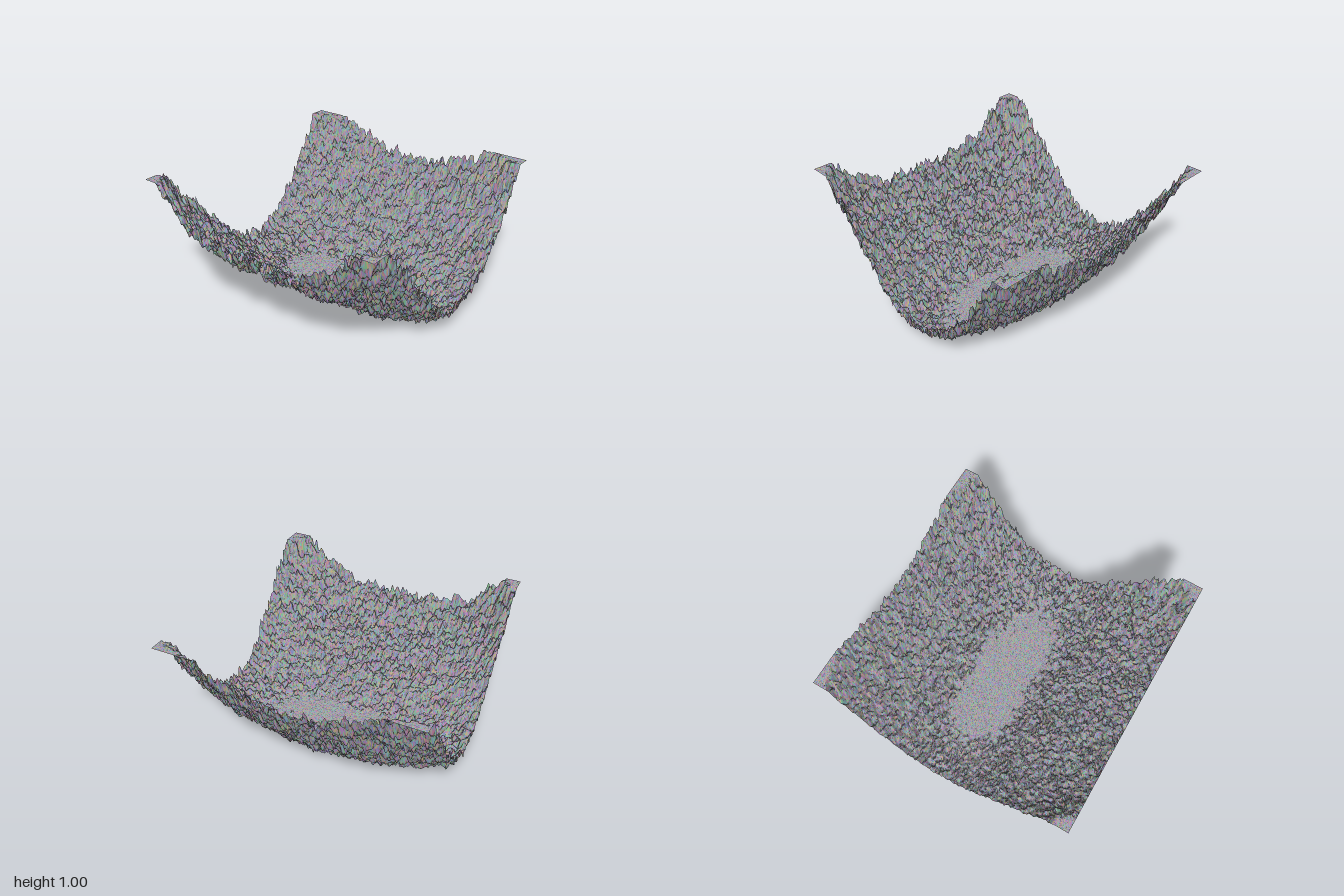
import * as THREE from 'three';

// Height along the centre line, from back (-z) to front (+z); values below 0 get levelled
const PROFILE = [
  [-1, 0.79], [-0.8, 0.46], [-0.6, 0.2], [-0.43, 0.05], [-0.3, -0.03], [-0.1, -0.08],
  [0.1, -0.04], [0.25, 0.05], [0.4, 0.19], [0.6, 0.33], [0.8, 0.46], [1, 0.67],
];

// Speckle colours, mixed over the whole surface
const SPECKLES = [0xc0809f, 0x80c08c, 0x8088c0, 0xc0b080, 0x707070, 0xb080c0, 0x80b8c0, 0xa8a8a8];
const CELLS = 256;

function valley(z) {
  let i = 0;
  while (i < PROFILE.length - 2 && z > PROFILE[i + 1][0]) i++;
  const [z0, h0] = PROFILE[i];
  const [z1, h1] = PROFILE[i + 1];
  return THREE.MathUtils.lerp(h0, h1, (z - z0) / (z1 - z0));
}

// Rise towards the left and right edges: broad at the back, tighter at the front
function sides(x, z) {
  const rise = 0.23 + (z > 0 ? 0.38 : 0.2) * z * z;
  return rise * Math.abs(x) ** (3 + z);
}

// Seeded lattice value in -1..1
function lattice(i, j, seed) {
  let n = Math.imul(i, 374761393) ^ Math.imul(j, 668265263) ^ Math.imul(seed, 974634777);
  n = Math.imul(n ^ (n >>> 13), 1274126177);
  n = Math.imul(n ^ (n >>> 15), 2246822519);
  return ((n ^ (n >>> 16)) >>> 0) / 2147483648 - 1;
}

// Smooth value noise
function noise(x, z, seed) {
  const { lerp, smoothstep } = THREE.MathUtils;
  const i = Math.floor(x), j = Math.floor(z);
  const u = smoothstep(x - i, 0, 1), v = smoothstep(z - j, 0, 1);
  return lerp(
    lerp(lattice(i, j, seed), lattice(i + 1, j, seed), u),
    lerp(lattice(i, j + 1, seed), lattice(i + 1, j + 1, seed), u), v);
}

// Basin height with roughness that grows a little up the walls
function height(x, z) {
  const base = valley(z) + sides(x, z);
  const rough = 0.015 * noise(x * 6, z * 8, 1)
    + 0.03 * noise(x * 18, z * 30, 2)
    + 0.04 * noise(x * 40, z * 56, 3)
    + 0.02 * noise(x * 85, z * 85, 4);
  return THREE.MathUtils.clamp(base + rough * (0.9 + 0.4 * base), 0, 1);
}

// Sorts the grid's triangles into one material group per speckle colour
function speckle(geometry) {
  const index = geometry.index.array;
  const buckets = SPECKLES.map(() => []);
  for (let t = 0; t < index.length; t += 3) {
    const pick = Math.floor((lattice(t, 7, 5) + 1) / 2 * SPECKLES.length);
    buckets[pick].push(index[t], index[t + 1], index[t + 2]);
  }
  let start = 0;
  buckets.forEach((bucket, i) => {
    geometry.addGroup(start, bucket.length, i);
    start += bucket.length;
  });
  geometry.setIndex(buckets.flat());
}

export function createModel() {
  const group = new THREE.Group();
  group.name = 'terrain';

  // Rugged basin: a fine grid raised by the height rule, levelled at floor and rim
  const geometry = new THREE.PlaneGeometry(2, 2, CELLS, CELLS).rotateX(-Math.PI / 2);
  const p = geometry.attributes.position;
  for (let i = 0; i < p.count; i++) p.setY(i, height(p.getX(i), p.getZ(i)));
  geometry.computeVertexNormals();
  speckle(geometry);

  const materials = SPECKLES.map((color) => new THREE.MeshStandardMaterial({
    color, side: THREE.DoubleSide,
  }));
  const basin = new THREE.Mesh(geometry, materials);
  basin.name = 'basinSurface';
  group.add(basin);
  return group;
}
